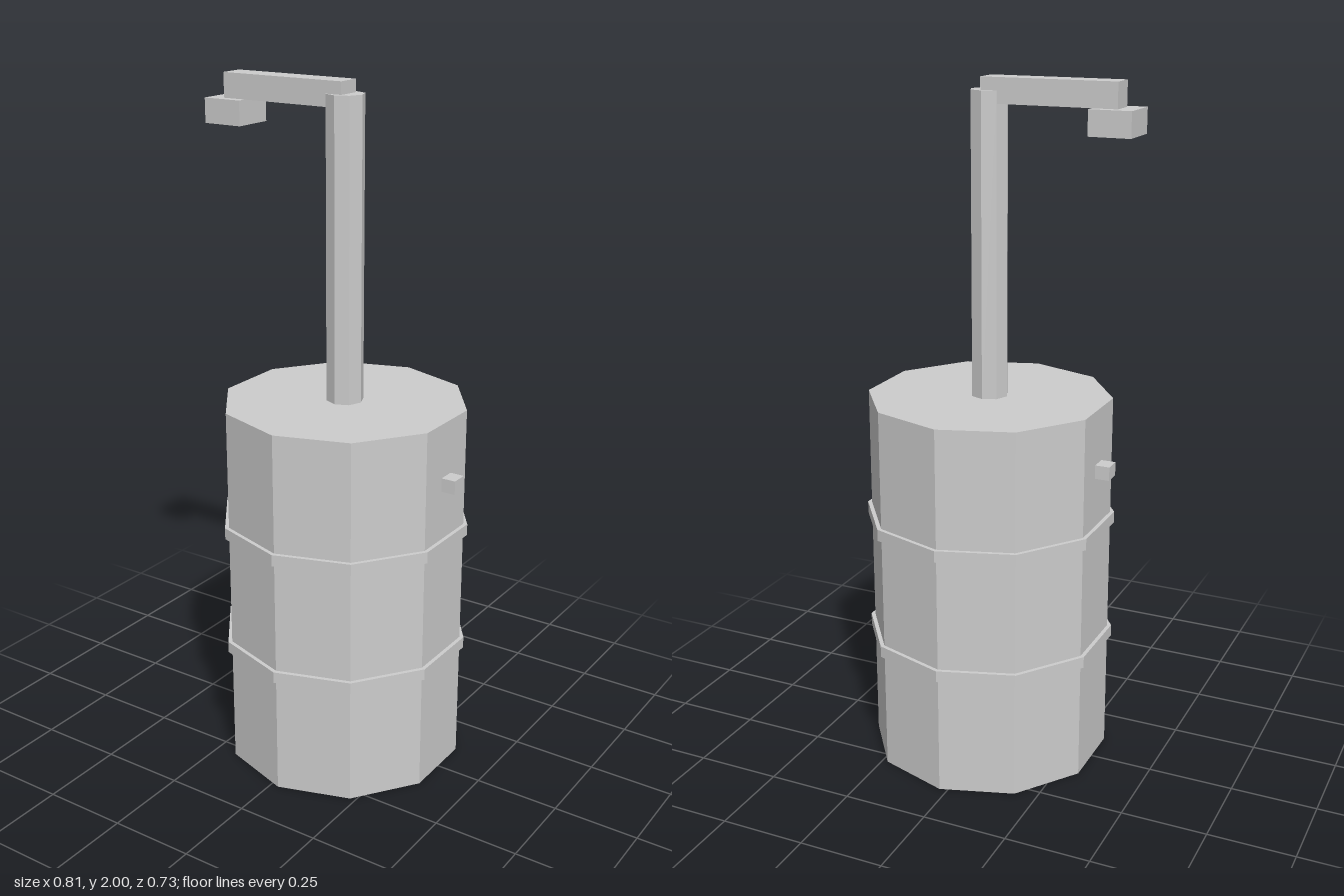
import * as THREE from 'three';

export function createModel() {
  const model = new THREE.Group();
  const grey = new THREE.MeshStandardMaterial({ color: 0xcccccc, flatShading: true });
  grey.name = 'light grey';
  const axis = 0.024; // x of the barrel's axis

  const add = (name, geometry, x, y, z = 0) => {
    const mesh = new THREE.Mesh(geometry, grey);
    mesh.name = name;
    mesh.position.set(x, y, z);
    model.add(mesh);
  };
  // Upright prism and box, both given by their bottom and top heights
  const prism = (name, radius, sides, y0, y1) =>
    add(name, new THREE.CylinderGeometry(radius, radius, y1 - y0, sides), axis, (y0 + y1) / 2);
  const box = (name, x0, x1, y0, y1, depth) =>
    add(name, new THREE.BoxGeometry(x1 - x0, y1 - y0, depth), (x0 + x1) / 2, (y0 + y1) / 2);

  // Ten-sided barrel with two hoops
  prism('barrel', 0.355, 10, 0, 1.105);
  prism('lowerHoop', 0.367, 10, 0.355, 0.389);
  prism('upperHoop', 0.367, 10, 0.723, 0.757);

  // Small lugs on both sides
  for (const side of [1, -1]) {
    add(side > 0 ? 'leftLug' : 'rightLug',
      new THREE.BoxGeometry(0.05, 0.04, 0.05), axis + side * 0.355, 0.925);
  }

  // Eight-sided post, side arm and end block
  prism('post', 0.054, 8, 1.1, 1.965);
  box('arm', -0.357, 0.034, 1.93, 2, 0.072);
  box('endBlock', -0.405, -0.285, 1.86, 1.93, 0.124);

  return model;
}
